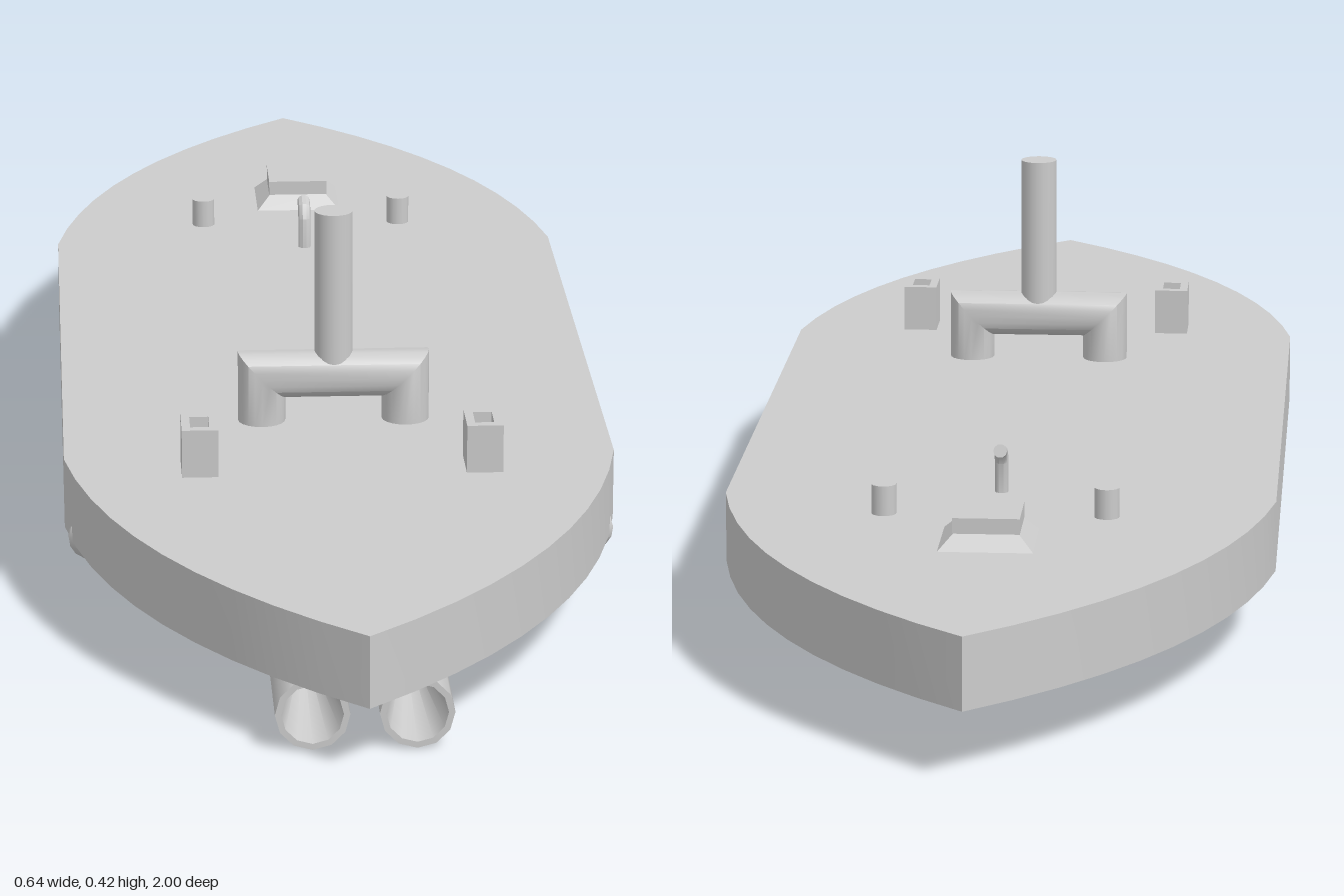
import * as THREE from 'three';
import { toCreasedNormals } from 'three/addons/utils/BufferGeometryUtils.js';

const material = new THREE.MeshStandardMaterial({ color: 0xcccccc, side: THREE.DoubleSide });
const V = (x, y, z) => new THREE.Vector3(x, y, z);

function add(parent, name, geometry, x = 0, y = 0, z = 0) {
  const mesh = new THREE.Mesh(geometry, material);
  mesh.name = name;
  mesh.position.set(x, y, z);
  parent.add(mesh);
  return mesh;
}

// Skins closed rings of equal point count, with a fan cap at both ends
function loft(rings, crease = 0.6) {
  const n = rings[0].length, pos = [], index = [];
  rings.forEach(ring => ring.forEach(p => pos.push(p.x, p.y, p.z)));
  for (let r = 0; r + 1 < rings.length; r++) {
    for (let i = 0; i < n; i++) {
      const a = r * n + i, b = r * n + (i + 1) % n;
      index.push(a, b, b + n, a, b + n, a + n);
    }
  }
  [0, rings.length - 1].forEach((r, end) => {
    const centre = new THREE.Vector3();
    rings[r].forEach(p => centre.addScaledVector(p, 1 / n));
    const c = pos.length / 3;
    pos.push(centre.x, centre.y, centre.z);
    for (let i = 0; i < n; i++) {
      const a = r * n + i, b = r * n + (i + 1) % n;
      if (end) index.push(c, a, b);
      else index.push(c, b, a);
    }
  });
  const g = new THREE.BufferGeometry();
  g.setAttribute('position', new THREE.Float32BufferAttribute(pos, 3));
  g.setIndex(index);
  return toCreasedNormals(g, crease);
}

// Double-pointed outline in plan, at height y
function outline(y, halfWidth, zBack, zFront) {
  const half = new THREE.QuadraticBezierCurve(
    new THREE.Vector2(1, 0.42), new THREE.Vector2(0.84, 0.77), new THREE.Vector2(0, 1)).getPoints(10);
  const side = [...half].reverse().concat(half.map(p => new THREE.Vector2(p.x, -p.y)));
  const loop = side.concat(side.slice(1, -1).reverse().map(p => new THREE.Vector2(-p.x, p.y)));
  const mid = (zBack + zFront) / 2, len = (zFront - zBack) / 2;
  return loop.map(p => V(p.x * halfWidth, y, mid + p.y * len)).reverse();
}

// Round pipe along straight legs with mitred corners
function mitredPipe(points, radius, sides = 16) {
  const dirs = points.slice(1).map((p, i) => p.clone().sub(points[i]).normalize());
  const ref = new THREE.Vector3().crossVectors(dirs[0], dirs[dirs.length - 1]);
  const u = ref.lengthSq() > 1e-6 ? ref.normalize()
    : new THREE.Vector3().crossVectors(dirs[0], dirs[1] || V(1, 0, 0)).normalize();
  const w = new THREE.Vector3().crossVectors(dirs[0], u).normalize();
  let ring = [];
  for (let i = 0; i < sides; i++) {
    const a = i / sides * Math.PI * 2;
    ring.push(points[0].clone().addScaledVector(u, radius * Math.cos(a)).addScaledVector(w, radius * Math.sin(a)));
  }
  const rings = [ring];
  for (let k = 1; k < points.length; k++) {
    const d = dirs[k - 1];
    const normal = d.clone().add(dirs[k] || d).normalize();
    ring = ring.map(p => p.clone().addScaledVector(d, points[k].clone().sub(p).dot(normal) / d.dot(normal)));
    rings.push(ring);
  }
  return loft(rings, 0.7);
}

export function createModel() {
  const model = new THREE.Group();
  model.name = 'vessel';

  // Flat-decked hull and tapered keel beneath it
  add(model, 'hull', loft([outline(0.08, 0.32, -1, 1), outline(0.163, 0.32, -1, 1)], 0.4));
  add(model, 'keel', loft([outline(0.022, 0.143, -0.645, 0.35), outline(0.08, 0.248, -0.88, 0.65)], 0.3));

  // Twin-legged exhaust with a central funnel
  const exhaust = new THREE.Group();
  exhaust.name = 'exhaust';
  add(exhaust, 'exhaustBridge', mitredPipe(
    [V(-0.085, 0.16, 0.29), V(-0.085, 0.22, 0.29), V(0.085, 0.22, 0.29), V(0.085, 0.16, 0.29)], 0.028, 20));
  add(exhaust, 'funnel', new THREE.CylinderGeometry(0.0225, 0.0225, 0.2, 20), 0, 0.32, 0.29);
  model.add(exhaust);

  // Hatch: sloping coaming under a square lid
  const coaming = new THREE.CylinderGeometry(0.036 * Math.SQRT2, 0.054 * Math.SQRT2, 0.018, 4, 1).rotateY(Math.PI / 4);
  add(model, 'hatchCoaming', toCreasedNormals(coaming, 0.3), 0, 0.172, -0.61);
  add(model, 'hatchLid', new THREE.BoxGeometry(0.076, 0.018, 0.076), 0, 0.189, -0.61);

  // Bent vent pipe
  add(model, 'ventPipe', mitredPipe(
    [V(0, 0.16, -0.394), V(0, 0.2, -0.394), V(0, 0.213, -0.402), V(0, 0.218, -0.42)], 0.008, 10));

  // Open-topped deck box section
  const frame = new THREE.Shape();
  frame.moveTo(-0.021, -0.03).lineTo(0.021, -0.03).lineTo(0.021, 0.03).lineTo(-0.021, 0.03).closePath();
  const hole = new THREE.Path();
  hole.moveTo(-0.011, -0.018).lineTo(-0.011, 0.018).lineTo(0.011, 0.018).lineTo(0.011, -0.018).closePath();
  frame.holes.push(hole);
  const boxGeometry = new THREE.ExtrudeGeometry(frame, { depth: 0.058, bevelEnabled: false }).rotateX(-Math.PI / 2);

  // Hollow jet nozzle: inner cone, rim, outer barrel and tapered inlet
  const nozzleProfile = [[0, 0.7], [0.034, 0.92], [0.041, 0.92], [0.041, 0.645], [0.024, 0.62], [0, 0.62]]
    .map(([r, z]) => new THREE.Vector2(r, z));
  const nozzleGeometry = toCreasedNormals(
    new THREE.LatheGeometry(nozzleProfile, 12).rotateX(Math.PI / 2), 0.65);

  for (const s of [-1, 1]) {
    const side = s > 0 ? 'left' : 'right';
    add(model, side + 'DeckBox', boxGeometry, s * 0.164, 0.162, 0.46);
    add(model, side + 'Bollard', new THREE.CylinderGeometry(0.0145, 0.0145, 0.036, 14), s * 0.128, 0.18, -0.5);
    add(model, side + 'Nozzle', nozzleGeometry, s * 0.057, 0.042, 0);
    // Feed pipe half sunk in the hull bottom, running in to the nozzle
    add(model, side + 'FeedPipe', mitredPipe(
      [V(s * 0.285, 0.082, 0.2), V(s * 0.285, 0.082, 0.45), V(s * 0.065, 0.07, 0.65)], 0.031));
  }
  return model;
}
